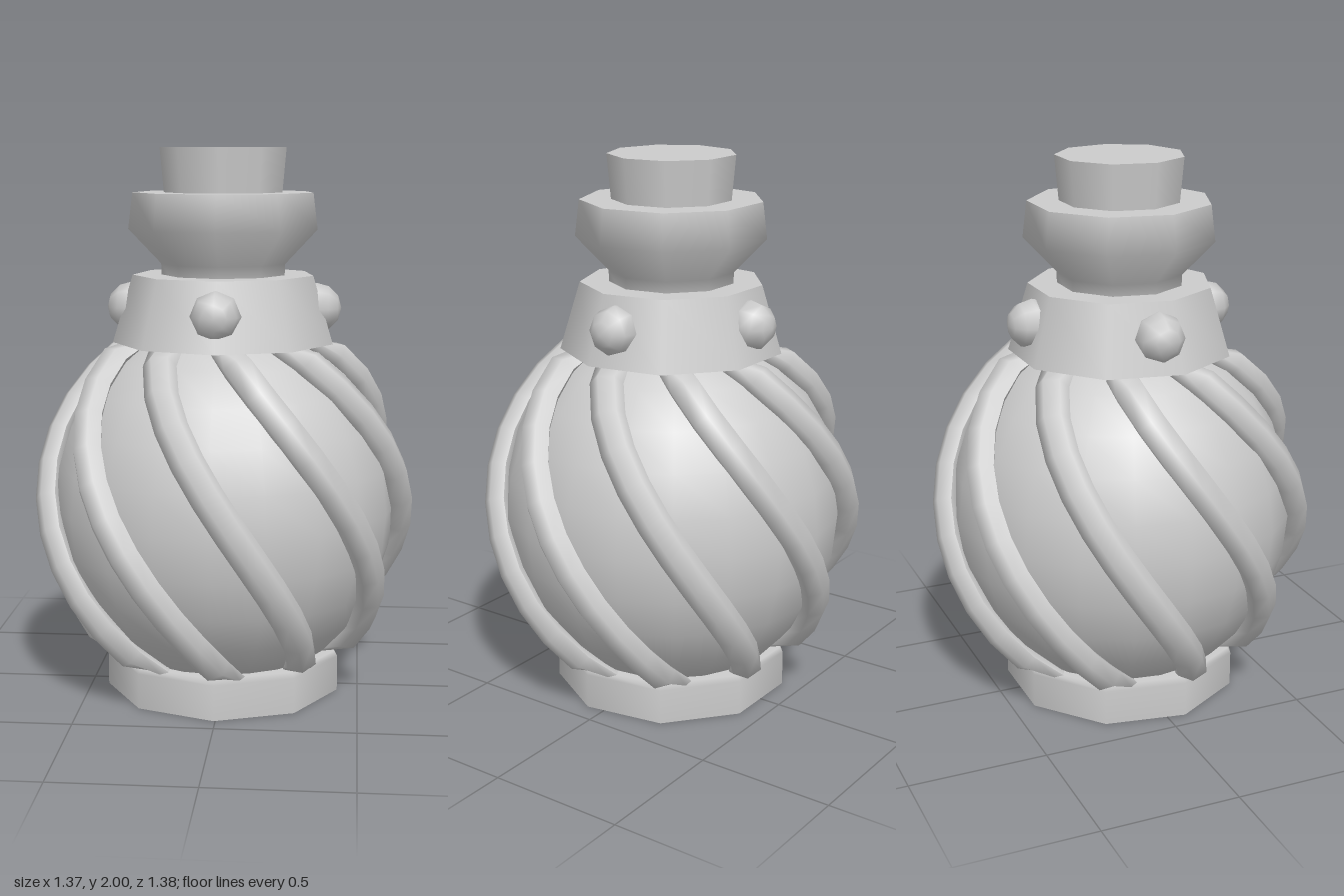
import * as THREE from 'three';

const SIDES = 9;
const BARS = 9;
const rad = THREE.MathUtils.degToRad;

// Spiral bar: a tube on an ellipsoid, flattened towards it, with level ends
function spiralBar() {
  const radius = 0.65, height = 0.71, centre = 0.7;
  const points = [];
  for (let i = 0; i <= 10; i++) {
    const t = i / 10;
    const polar = rad(28 + 116 * t);
    const turn = rad(-36 + 84 * t);
    const r = radius * Math.sin(polar);
    points.push(new THREE.Vector3(r * Math.sin(turn), centre + height * Math.cos(polar), r * Math.cos(turn)));
  }
  const bar = new THREE.TubeGeometry(new THREE.CatmullRomCurve3(points), 12, 0.06, 6);
  const pos = bar.attributes.position;
  for (let i = 0; i < pos.count; i++) {
    const x = pos.getX(i), y = pos.getY(i) - centre, z = pos.getZ(i);
    const e = Math.hypot(x / radius, y / height, z / radius);
    const k = (1 + (e - 1) * 0.85) / e;
    pos.setXYZ(i, x * k, THREE.MathUtils.clamp(centre + y * k, 0.145, 1.31), z * k);
  }
  bar.computeVertexNormals();
  return bar;
}

export function createModel() {
  const model = new THREE.Group();
  model.name = 'bottle';
  const material = new THREE.MeshStandardMaterial({ color: 0xcccccc });

  const add = (name, geometry) => {
    const mesh = new THREE.Mesh(geometry, material);
    mesh.name = name;
    mesh.position.set(-0.006, 0, -0.008);
    model.add(mesh);
    return mesh;
  };
  // Nine-sided turned part, profile given bottom to top as [radius, y];
  // a repeated point makes a sharp edge
  const turned = (name, profile) =>
    add(name, new THREE.LatheGeometry(profile.map(([r, y]) => new THREE.Vector2(r, y)), SIDES));

  turned('base', [[0, 0], [0.437, 0], [0.437, 0], [0.437, 0.13], [0.425, 0.15], [0, 0.15]]);
  turned('collar', [[0, 1.3], [0.406, 1.3], [0.406, 1.3], [0.332, 1.545], [0.332, 1.545], [0, 1.545]]);
  turned('neck', [[0.225, 1.5], [0.228, 1.585], [0.346, 1.71], [0.33, 1.84], [0.33, 1.84], [0, 1.84]]);
  turned('cork', [[0.213, 1.8], [0.231, 2], [0.231, 2], [0, 2]]);

  // Round glass body
  const body = new THREE.SphereGeometry(1, 20, 14);
  body.scale(0.63, 0.685, 0.63);
  body.translate(0, 0.7, 0);
  add('body', body);

  // Spiral bars wrapped round the body from collar to base
  const bar = spiralBar();
  for (let i = 0; i < BARS; i++) {
    add('spiralBar', bar).rotation.y = (i / BARS) * Math.PI * 2;
  }

  // Four studs round the collar, poles facing outwards
  const stud = new THREE.SphereGeometry(0.09, 8, 6);
  stud.rotateX(Math.PI / 2);
  stud.translate(0, 1.425, 0.338);
  for (let i = 0; i < 4; i++) {
    add('collarStud', stud).rotation.y = (i * Math.PI) / 2;
  }

  return model;
}
